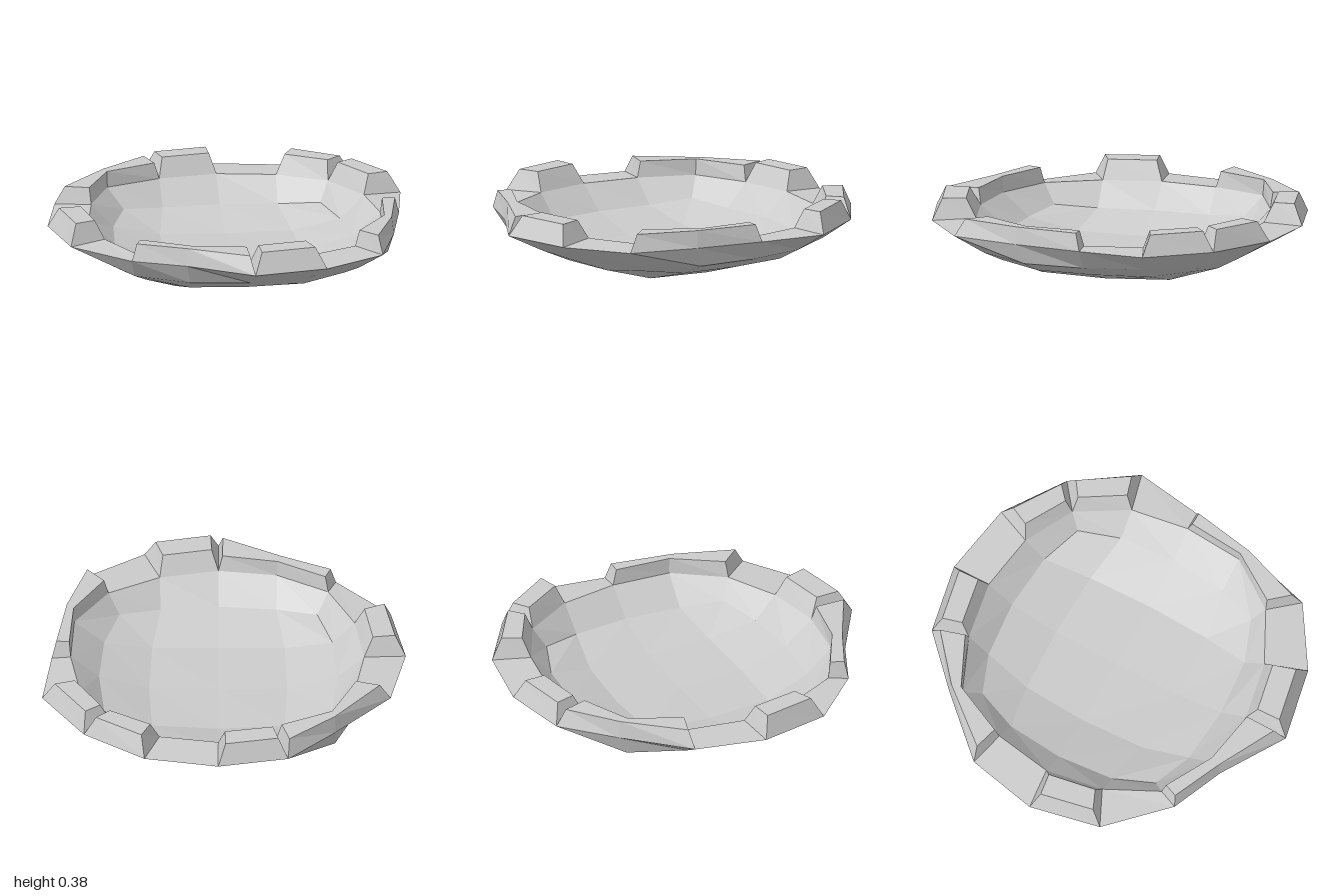
import * as THREE from 'three';

const material = new THREE.MeshStandardMaterial({ color: 0xcccccc, flatShading: true });
const THICKNESS = 0.065;

// Plan outlines [x, z], running from the back towards +x
const outerPlan = [
  [0.03, -1], [0.42, -0.93], [0.74, -0.71], [0.96, -0.38], [0.91, -0.02], [0.84, 0.35], [0.74, 0.71], [0.42, 0.92],
  [0.03, 1], [-0.31, 0.79], [-0.59, 0.67], [-0.88, 0.38], [-0.96, 0], [-0.88, -0.38], [-0.59, -0.69], [-0.34, -0.93],
];
const innerPlan = [
  [0.03, -0.79], [0.34, -0.74], [0.6, -0.6], [0.76, -0.33], [0.81, -0.02], [0.79, 0.3], [0.61, 0.56], [0.34, 0.7],
  [0.03, 0.76], [-0.28, 0.72], [-0.55, 0.57], [-0.69, 0.29], [-0.74, -0.02], [-0.69, -0.33], [-0.57, -0.62], [-0.28, -0.74],
];
const ringAt = (plan, y, scale = 1) => plan.map(([x, z]) => new THREE.Vector3(x * scale, y, z * scale));

// Point of the rounded square floor, u and v from -2 to 2
function floorPoint(u, v, lift) {
  const spread = (a, b) => Math.sign(a) * [0, 0.365 - 0.015 * b * b, 0.63 - 0.027 * b * b][Math.abs(a)];
  const ring = Math.max(Math.abs(u), Math.abs(v));
  const corner = Math.abs(u) === Math.abs(v) ? [0, 0.01, 0.025][ring] : 0;
  const y = [0, 0.006, 0.085][ring] + corner;
  return new THREE.Vector3(0.03 + spread(u, v), y + lift, -0.02 + spread(v, u));
}

// The 16 floor edge points, in the same order as the outlines
function floorEdge(lift) {
  const ring = [];
  for (let i = 0; i < 16; i++) {
    const side = Math.floor((i + 2) / 4) % 4;
    const t = ((i + 2) % 4) - 2;
    const [u, v] = [[t, -2], [2, t], [-t, 2], [-2, -t]][side];
    ring.push(floorPoint(u, v, lift));
  }
  return ring;
}

function meshFromQuads(name, quads) {
  const points = quads.flatMap(([a, b, c, d]) => [a, b, c, a, c, d]);
  const geometry = new THREE.BufferGeometry().setFromPoints(points);
  geometry.computeVertexNormals();
  const mesh = new THREE.Mesh(geometry, material);
  mesh.name = name;
  return mesh;
}

// Upward-facing band between two rings
const band = (outer, inner) => outer.map((p, i) => {
  const j = (i + 1) % outer.length;
  return [p, inner[i], inner[j], outer[j]];
});

function floorQuads(lift) {
  const quads = [];
  for (let u = -2; u < 2; u++) {
    for (let v = -2; v < 2; v++) {
      quads.push([floorPoint(u, v, lift), floorPoint(u, v + 1, lift),
        floorPoint(u + 1, v + 1, lift), floorPoint(u + 1, v, lift)]);
    }
  }
  return quads;
}

const flip = (quads) => quads.map((q) => [...q].reverse());

// Tapered stone standing on one or more rim segments
function rimBlock(start, count, outer, inner) {
  const long = count > 1;
  const top = long ? 0.36 : 0.377;
  const endInset = long ? 0.07 : 0.11;
  const [outerInset, innerInset] = long ? [0.2, 0.09] : [0.22, 0.24];
  const sections = [];
  for (let k = 0; k <= count; k++) {
    const i = (start + k) % 16;
    const bo = outer[i], bi = inner[i];
    const to = bo.clone().lerp(bi, outerInset);
    const ti = bi.clone().lerp(bo, innerInset);
    if (k === 0 || k === count) {
      const n = (i + (k === 0 ? 1 : 15)) % 16;
      to.lerp(outer[n].clone().lerp(inner[n], outerInset), endInset);
      ti.lerp(inner[n].clone().lerp(outer[n], innerInset), endInset);
    }
    to.y = ti.y = top;
    sections.push([bo, to, ti, bi]);
  }
  const quads = [];
  for (let k = 0; k < count; k++) {
    const a = sections[k], b = sections[k + 1];
    for (let s = 0; s < 3; s++) quads.push([a[s], a[s + 1], b[s + 1], b[s]]);
  }
  quads.push([...sections[0]].reverse(), sections[count]);
  return meshFromQuads(long ? 'longRimBlock' : 'shortRimBlock', quads);
}

export function createModel() {
  const group = new THREE.Group();
  group.name = 'stoneBasin';
  const rimOuter = ringAt(outerPlan, 0.267);
  const rimInner = ringAt(innerPlan, 0.275);
  const belly = ringAt(innerPlan, 0.16, 1.03);

  // Underside, flat rim and hollow in one shell
  group.add(meshFromQuads('basin', [
    ...flip([...band(rimOuter, belly), ...band(belly, floorEdge(0)), ...floorQuads(0)]),
    ...band(rimOuter, rimInner),
    ...band(rimInner, floorEdge(THICKNESS)), ...floorQuads(THICKNESS),
  ]));

  // Raised stones: [first segment, number of segments]
  const blocks = [[1, 1], [2, 1], [4, 2], [7, 1], [8, 2], [11, 1], [13, 2], [15, 1]];
  for (const [start, count] of blocks) group.add(rimBlock(start, count, rimOuter, rimInner));
  return group;
}
